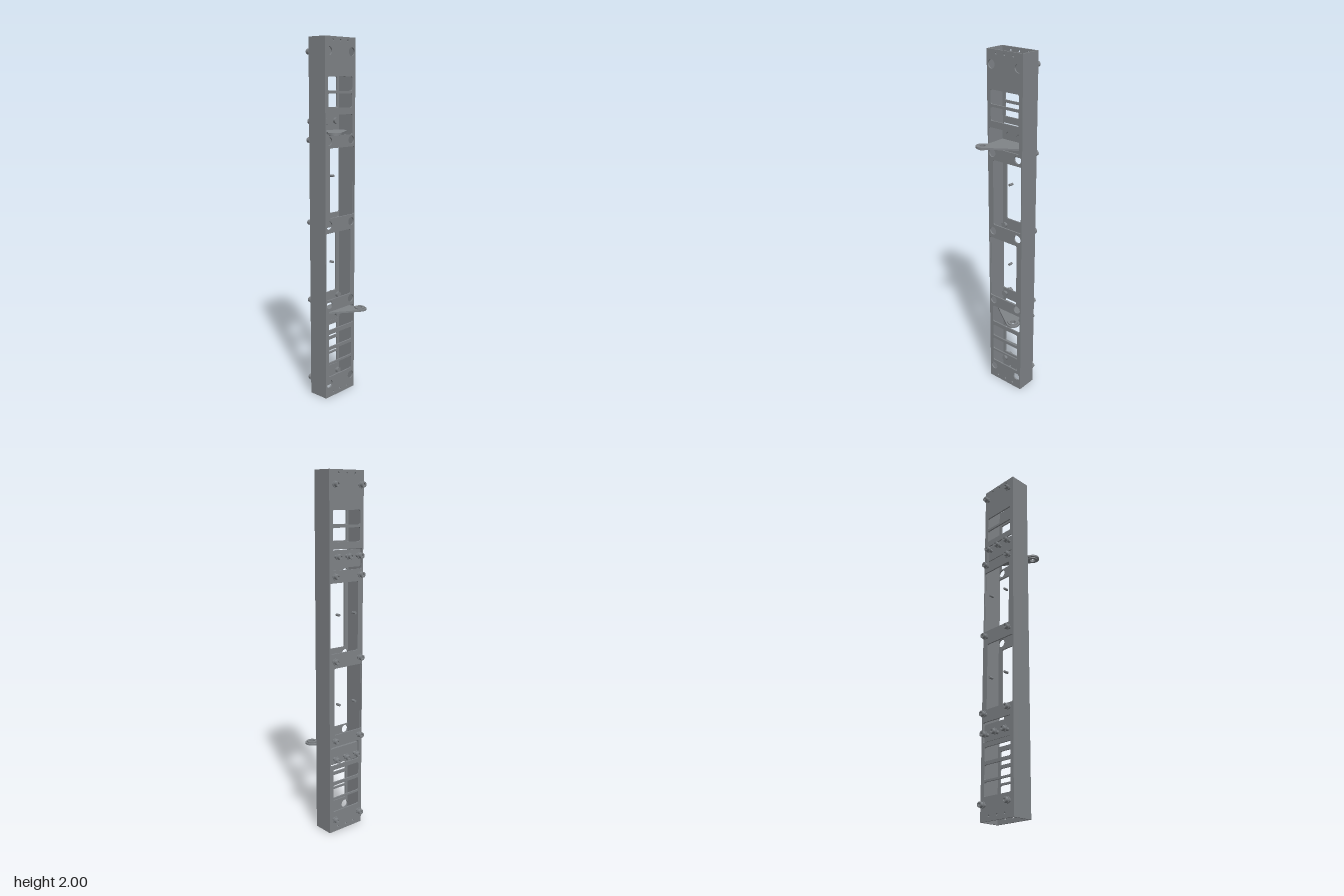
import * as THREE from 'three';

const W = 0.118, FRONT = 0.03, BACK = -0.09, T = 0.008;
const BOLT_ROWS = [0.08, 0.552, 1.003, 1.459, 1.926];
const BOLT_X = 0.088;

// Rounded rectangle outline from corner coordinates
function roundRect(path, x0, y0, x1, y1, r) {
  path.moveTo(x0 + r, y0);
  path.lineTo(x1 - r, y0);
  path.absarc(x1 - r, y0 + r, r, -Math.PI / 2, 0);
  path.lineTo(x1, y1 - r);
  path.absarc(x1 - r, y1 - r, r, 0, Math.PI / 2);
  path.lineTo(x0 + r, y1);
  path.absarc(x0 + r, y1 - r, r, Math.PI / 2, Math.PI);
  path.lineTo(x0, y0 + r);
  path.absarc(x0 + r, y0 + r, r, Math.PI, Math.PI * 1.5);
  return path;
}

function circle(x, y, r) {
  return new THREE.Path().absarc(x, y, r, 0, Math.PI * 2, true);
}

function extrude(shape, depth) {
  return new THREE.ExtrudeGeometry(shape, { depth, bevelEnabled: false, curveSegments: 10 });
}

export function createModel() {
  const model = new THREE.Group();
  model.name = 'mountingColumn';
  const steel = new THREE.MeshStandardMaterial({ color: 0x7f8387 });
  steel.name = 'grey steel';

  const add = (parent, name, geometry, x = 0, y = 0, z = 0) => {
    const mesh = new THREE.Mesh(geometry, steel);
    mesh.name = name;
    mesh.position.set(x, y, z);
    parent.add(mesh);
    return mesh;
  };

  // Front and back walls share the same cut-outs
  const openings = [
    [-0.095, 0.122, 0.093, 0.196], [-0.095, 0.207, 0.093, 0.284], [-0.095, 0.302, 0.093, 0.377],
    [-0.095, 1.634, 0.093, 1.708], [-0.095, 1.722, 0.093, 1.798],
    [-0.095, 0.402, 0.108, 0.512], [-0.108, 1.488, 0.095, 1.598],
    [-0.112, 0.58, 0.083, 0.96], [-0.083, 1.042, 0.112, 1.422],
  ];
  const wall = (boltHoleRadius) => {
    const s = new THREE.Shape();
    s.moveTo(-W, 0);
    s.lineTo(W, 0);
    s.lineTo(W, 2);
    s.lineTo(-W, 2);
    s.closePath();
    openings.forEach(([a, b, c, d]) => s.holes.push(roundRect(new THREE.Path(), a, b, c, d, 0.007)));
    for (const y of BOLT_ROWS)
      for (const x of [-BOLT_X, BOLT_X]) s.holes.push(circle(x, y, boltHoleRadius));
    for (const y of [0.025, 1.982])
      for (const x of [-0.057, 0, 0.057]) s.holes.push(circle(x, y, 0.006));
    return extrude(s, T);
  };
  add(model, 'frontWall', wall(0.023), 0, 0, FRONT - T);
  add(model, 'backWall', wall(0.0095), 0, 0, BACK);

  // Solid side walls
  const side = new THREE.BoxGeometry(T, 2, FRONT - BACK - 2 * T);
  for (const s of [-1, 1])
    add(model, s > 0 ? 'leftWall' : 'rightWall', side, s * (W - T / 2), 1, (FRONT + BACK) / 2);

  // Bolt parts, running along z
  const cyl = (r, len, n) => new THREE.CylinderGeometry(r, r, len, n).rotateX(Math.PI / 2);
  const headShape = new THREE.Shape().absarc(0, 0, 0.015, 0, Math.PI * 2);
  headShape.holes.push(circle(0, 0, 0.007));
  const head = extrude(headShape, 0.018);
  const shaft = cyl(0.0095, 0.054, 16);
  const washer = cyl(0.019, 0.004, 20);
  const nut = cyl(0.0175, 0.013, 6);
  const bolt = (parent, x, y) => {
    const g = new THREE.Group();
    g.name = 'bolt';
    g.position.set(x, y, 0);
    add(g, 'boltHead', head, 0, 0, -0.127);
    add(g, 'boltShaft', shaft, 0, 0, -0.089);
    add(g, 'boltWasher', washer, 0, 0, -0.107);
    add(g, 'boltNut', nut, 0, 0, -0.0675);
    parent.add(g);
  };
  for (const y of BOLT_ROWS)
    for (const x of [-BOLT_X, BOLT_X]) bolt(model, x, y);

  // Small pins standing in the two large windows
  const pin = cyl(0.007, 0.026, 14);
  for (const [x, y] of [[-0.057, 1.252], [0.058, 1.252], [-0.06, 0.753], [0.055, 0.753]])
    add(model, 'pin', pin, x, y, -0.088);

  // Arm outline in x and z, ending in a round eye
  const cx = -0.105, cz = 0.085, r = 0.038, eye = 0.016;
  const arm = new THREE.Shape();
  arm.moveTo(-0.105, -0.08);
  arm.lineTo(0.095, -0.08);
  arm.lineTo(0.095, -0.006);
  arm.lineTo(0, 0.06);
  arm.absarc(cx, cz, r, 0.96, 4.1);
  arm.quadraticCurveTo(-0.107, 0.044, -0.105, 0.026);
  arm.closePath();
  arm.holes.push(circle(cx, cz, eye));
  const armGeometry = extrude(arm, 0.01).rotateX(Math.PI / 2);

  const ring = new THREE.Shape().absarc(cx, cz, 0.029, 0, Math.PI * 2);
  ring.holes.push(circle(cx, cz, eye));
  const ringGeometry = extrude(ring, 0.007).rotateX(Math.PI / 2);

  const flange = roundRect(new THREE.Shape(), -0.105, 0, 0.095, 0.093, 0.01);
  const flangeBolts = [-0.08, -0.006, 0.068];
  flangeBolts.forEach((x) => flange.holes.push(circle(x, 0.06, 0.0095)));
  const flangeGeometry = extrude(flange, T);

  // The lower bracket is the upper one turned half a turn about z
  for (const [name, y, turn] of [['upperBracket', 1.5, 0], ['lowerBracket', 0.5, Math.PI]]) {
    const g = new THREE.Group();
    g.name = name;
    g.position.y = y;
    g.rotation.z = turn;
    add(g, 'bracketArm', armGeometry, 0, 0.01, 0);
    add(g, 'eyeRing', ringGeometry);
    add(g, 'bracketFlange', flangeGeometry, 0, 0, -0.082);
    flangeBolts.forEach((x) => bolt(g, x, 0.06));
    model.add(g);
  }
  return model;
}
